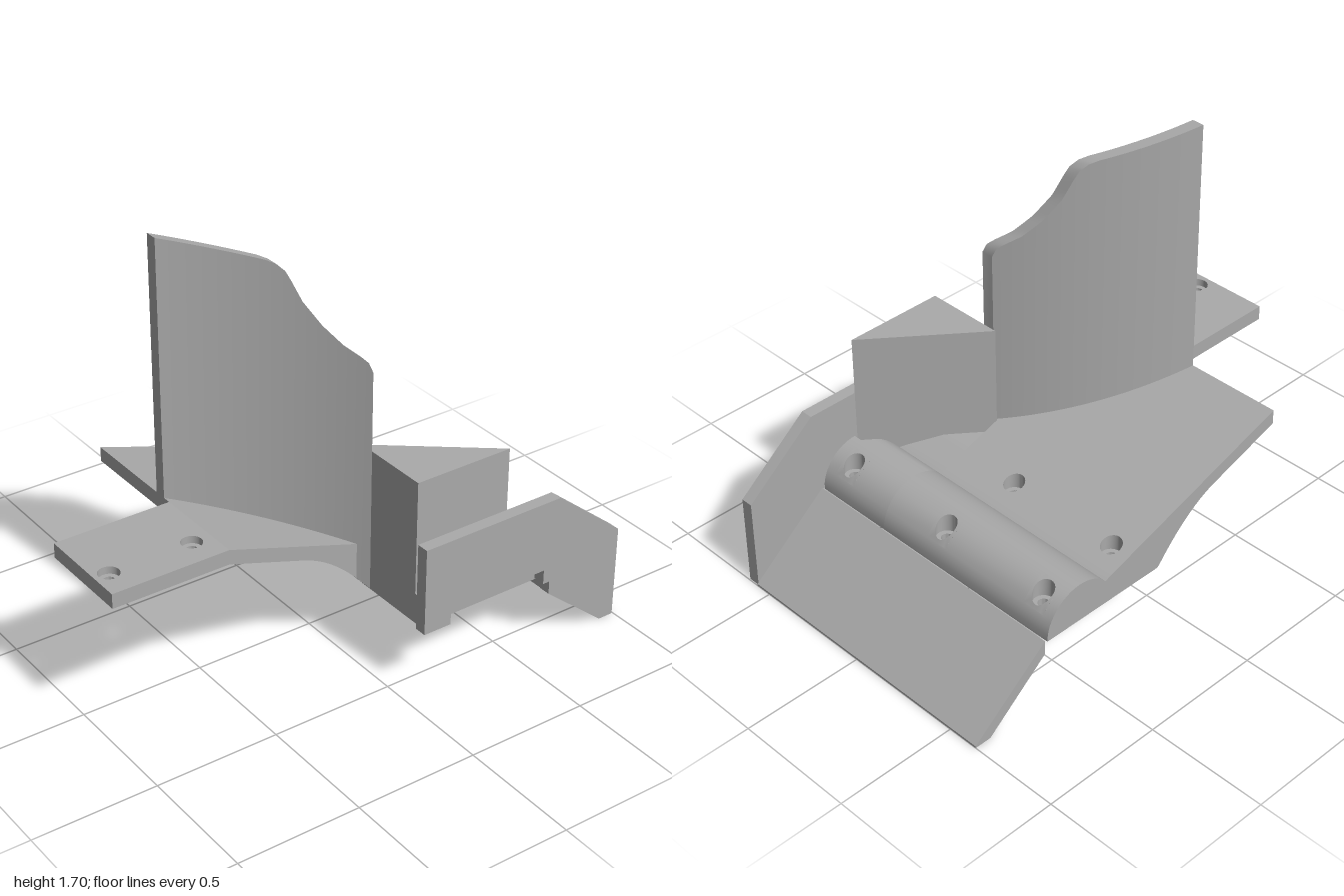
import * as THREE from 'three';
import { toCreasedNormals } from 'three/addons/utils/BufferGeometryUtils.js';

const BORE = 0.041, SHANK = 0.022, PATCH = 0.05, SEG = 32;

// Subdivide the spans between break points
function spread(breaks, step) {
  const out = [breaks[0]];
  for (let i = 1; i < breaks.length; i++) {
    const a = breaks[i - 1], b = breaks[i], n = Math.max(1, Math.ceil((b - a) / step - 1e-6));
    for (let k = 1; k <= n; k++) out.push(a + ((b - a) * k) / n);
  }
  return out;
}

// Solid between heights g(x) and f(x), with counterbored holes [x, z, floorY]
function slab(xs, zs, f, g, holes = [], shift = () => 0) {
  const pos = [];
  const quad = (a, b, c, d) => pos.push(...a, ...b, ...c, ...a, ...c, ...d);
  const top = (x, z) => [x, f(x), z + shift(x)];
  const low = (x, z) => [x, g(x), z + shift(x)];
  const zA = zs[0], zB = zs[zs.length - 1], xA = xs[0], xB = xs[xs.length - 1];
  for (let i = 0; i < xs.length - 1; i++) {
    const x0 = xs[i], x1 = xs[i + 1];
    for (let j = 0; j < zs.length - 1; j++) {
      const z0 = zs[j], z1 = zs[j + 1];
      const mx = (x0 + x1) / 2, mz = (z0 + z1) / 2;
      if (holes.some(([hx, hz]) => Math.abs(mx - hx) < PATCH && Math.abs(mz - hz) < PATCH)) continue;
      quad(top(x0, z0), top(x0, z1), top(x1, z1), top(x1, z0));
      quad(low(x1, z0), low(x1, z1), low(x0, z1), low(x0, z0));
    }
    quad(low(x0, zB), low(x1, zB), top(x1, zB), top(x0, zB));
    quad(low(x1, zA), low(x0, zA), top(x0, zA), top(x1, zA));
  }
  quad(low(xB, zB), low(xB, zA), top(xB, zA), top(xB, zB));
  quad(low(xA, zA), low(xA, zB), top(xA, zB), top(xA, zA));

  for (const [hx, hz, floor] of holes) {
    const round = (k, r) => {
      const a = (k / SEG) * Math.PI * 2;
      return [hx + r * Math.cos(a), hz + r * Math.sin(a)];
    };
    const square = (k) => {
      const a = (k / SEG) * Math.PI * 2, c = Math.cos(a), s = Math.sin(a);
      return round(k, PATCH / Math.max(Math.abs(c), Math.abs(s)));
    };
    const flat = ([x, z]) => [x, floor, z];
    for (let k = 0; k < SEG; k++) {
      const s0 = square(k), s1 = square(k + 1);
      const b0 = round(k, BORE), b1 = round(k + 1, BORE);
      const h0 = round(k, SHANK), h1 = round(k + 1, SHANK);
      quad(top(...b0), top(...b1), top(...s1), top(...s0));
      quad(flat(b0), flat(b1), top(...b1), top(...b0));
      quad(flat(h0), flat(h1), flat(b1), flat(b0));
      quad(low(...h0), low(...h1), flat(h1), flat(h0));
      quad(low(...s0), low(...s1), low(...h1), low(...h0));
    }
  }
  const geo = new THREE.BufferGeometry();
  geo.setAttribute('position', new THREE.Float32BufferAttribute(pos, 3));
  return toCreasedNormals(geo, 0.5);
}

// Outline in x, y pushed out along z
function prism(points, depth) {
  const shape = new THREE.Shape(points.map(([x, y]) => new THREE.Vector2(x, y)));
  return new THREE.ExtrudeGeometry(shape, { depth, bevelEnabled: false });
}

export function createModel() {
  const group = new THREE.Group();
  const grey = new THREE.MeshStandardMaterial({ color: 0xaaaaaa });
  grey.name = 'grey';
  const add = (name, geo, z = 0, y = 0) => {
    const mesh = new THREE.Mesh(geo, grey);
    mesh.name = name;
    mesh.position.set(0, y, z);
    group.add(mesh);
  };

  // Height rules: sloping deck with a rounded ridge, and an arched underside
  const deck = (x) => {
    const slope = 0.66 - 0.325 * (x + 0.52);
    const ridge = 0.275 + Math.sqrt(Math.max(0, 0.0256 - (x - 0.49) ** 2));
    return x < 0.362 ? slope : ridge;
  };
  const under = (x) => {
    const t = x + 0.2;
    return Math.max(0.27, 0.496 - 0.325 * t - (t > 0 ? 1.6 * t * t : 0));
  };

  // Base, split where its outline steps forward
  const ridgeEnd = [0.53, 0.63, 0.64, 0.645, 0.6485, 0.65];
  add('base', slab(
    spread([-0.52, -0.2, 0.09, 0.19, 0.29, 0.362, ...ridgeEnd], 0.02),
    [-0.63, -0.59, -0.49, -0.09, 0.01, 0.23], deck, under,
    [[0.24, -0.54, 0.36], [0.24, -0.04, 0.36], [0.58, -0.54, 0.35], [0.58, -0.04, 0.35]]));
  add('baseFrontEdge', slab(spread([-0.52, -0.2, 0.07], 0.02), [0.23, 0.25], deck, under));
  add('basePocket', slab(spread([0.07, 0.23, 0.362, 0.42, 0.49], 0.02), [0.23, 0.57],
    (x) => Math.min(0.417, deck(x)), under));
  add('ridgeFront', slab(spread([0.49, ...ridgeEnd], 0.02), [0.23, 0.42, 0.52, 0.57],
    deck, under, [[0.58, 0.47, 0.35]]));

  // Flat mounting tab
  add('mountingTab', slab([-1, -0.99, -0.89, -0.65, -0.55, -0.52], [-0.145, 0.08, 0.18, 0.25],
    () => 0.66, () => 0.6, [[-0.94, 0.13, 0.63], [-0.6, 0.13, 0.63]]));

  // Curved upright wall with a swept-down top edge
  const crest = [[-0.52, 1.7], [-0.2, 1.606], [-0.17, 1.592], [-0.145, 1.565], [-0.13, 1.53],
    [-0.1, 1.45], [-0.05, 1.362], [0, 1.295], [0.04, 1.258], [0.06, 1.235], [0.07, 1.2]];
  const crestAt = (x) => {
    let i = 1;
    while (i < crest.length - 1 && x > crest[i][0]) i++;
    const [x0, y0] = crest[i - 1], [x1, y1] = crest[i];
    return y0 + ((y1 - y0) * (x - x0)) / (x1 - x0);
  };
  const arc = (x) => 1.19 - Math.sqrt(1.56 ** 2 - (x + 1.168) ** 2);
  add('curvedWall', slab(spread(crest.map((p) => p[0]), 0.02), [0, 0.05],
    crestAt, (x) => under(x) + 0.002, [], arc));

  // Triangular block behind the front plate
  const wedge = prism([[0.07, -0.56], [0.485, -0.56], [0.07, -0.23]], 0.55);
  wedge.rotateX(-Math.PI / 2);
  add('cornerWedge', wedge, 0, 0.33);

  // Front plate with its lower slot
  add('frontPlate', prism([[0.07, 0.27], [0.19, 0.27], [0.19, 0.335], [0.63, 0.335], [0.63, 0.275],
    [0.66, 0.275], [0.66, 0.22], [0.93, 0], [0.995, 0], [0.995, 0.385], [0.69, 0.63], [0.07, 0.63]], 0.05), 0.57);

  // Sloping flap, set just clear of the ridge
  add('flap', prism([[0.662, 0.22], [0.93, 0], [1, 0], [1, 0.008], [0.662, 0.28]], 1.2), -0.63);
  return group;
}
